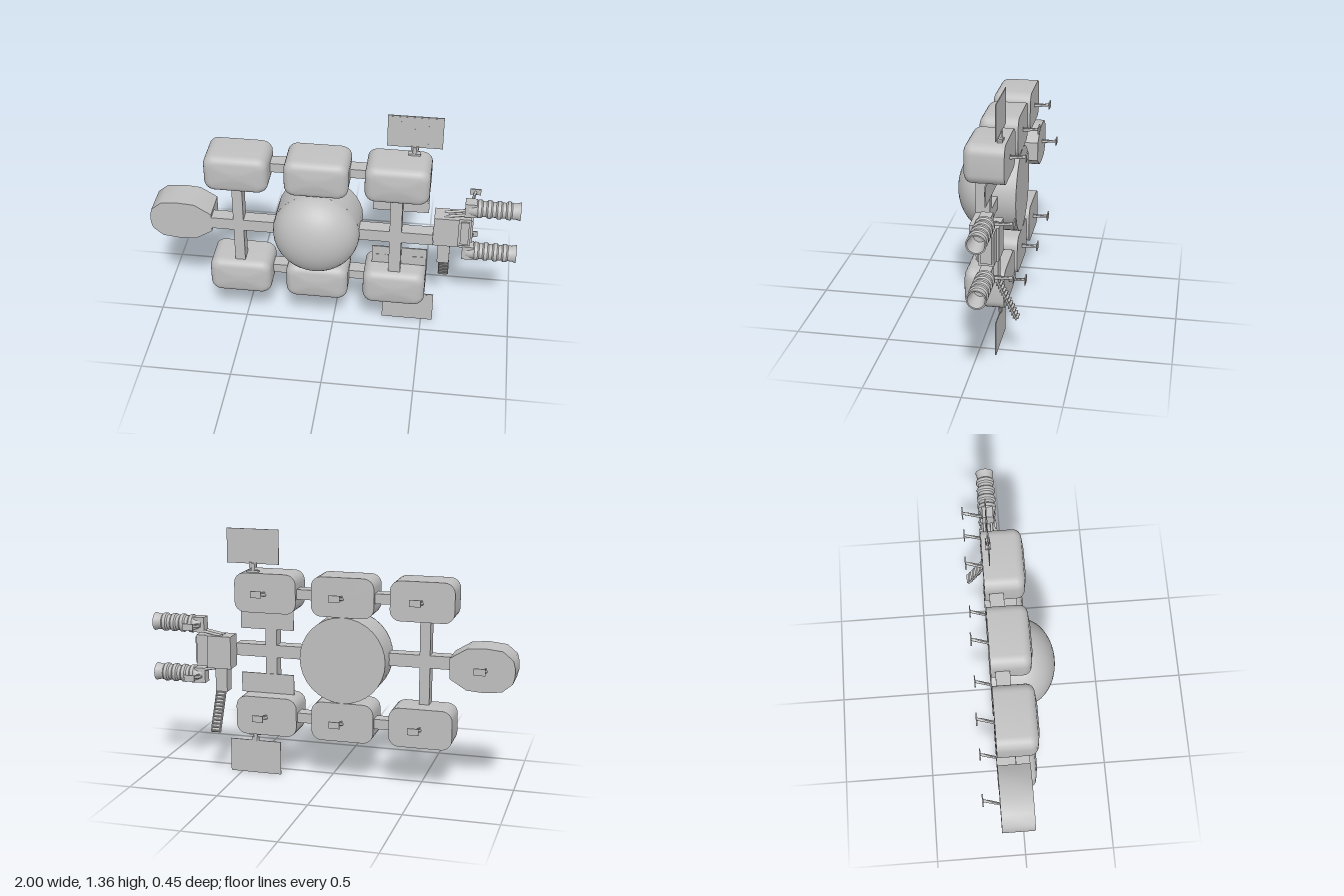
import * as THREE from 'three';
import { toCreasedNormals } from 'three/addons/utils/BufferGeometryUtils.js';

const hull = new THREE.MeshStandardMaterial({ color: 0xc0c0c0 });
hull.name = 'hull grey';
hull.side = THREE.DoubleSide;

const CY = 0.69, BACK = -0.128;

function add(parent, name, geometry, x = 0, y = 0, z = 0) {
  const mesh = new THREE.Mesh(geometry, hull);
  mesh.name = name;
  mesh.position.set(x, y, z);
  parent.add(mesh);
  return mesh;
}

// box given by its limits on each axis
function box(parent, name, x0, x1, y0, y1, z0, z1) {
  return add(parent, name, new THREE.BoxGeometry(x1 - x0, y1 - y0, z1 - z0),
    (x0 + x1) / 2, (y0 + y1) / 2, (z0 + z1) / 2);
}

// round bar between two points
function rod(parent, name, a, b, r, sides = 8) {
  const p = new THREE.Vector3(...a), q = new THREE.Vector3(...b);
  const mesh = add(parent, name, new THREE.CylinderGeometry(r, r, p.distanceTo(q), sides));
  mesh.position.copy(p).add(q).multiplyScalar(0.5);
  mesh.quaternion.setFromUnitVectors(new THREE.Vector3(0, 1, 0), q.sub(p).normalize());
  return mesh;
}

// counter-clockwise rounded rectangle
function roundedRing(hw, hh, r, z) {
  const pts = [];
  [[1, 1], [-1, 1], [-1, -1], [1, -1]].forEach(([sx, sy], k) => {
    for (let i = 0; i <= 6; i++) {
      const a = (k + i / 6) * Math.PI / 2;
      pts.push([sx * (hw - r) + r * Math.cos(a), sy * (hh - r) + r * Math.sin(a), z]);
    }
  });
  return pts;
}

// skin through rings of equal length, capped at both ends
function loft(rings) {
  const pos = [], n = rings[0].length;
  const tri = (...v) => v.forEach(p => pos.push(...p));
  for (let j = 0; j < rings.length - 1; j++) {
    for (let i = 0; i < n; i++) {
      const k = (i + 1) % n, a = rings[j], b = rings[j + 1];
      tri(a[i], a[k], b[k]);
      tri(a[i], b[k], b[i]);
    }
  }
  const first = rings[0], last = rings[rings.length - 1];
  for (let i = 0; i < n; i++) {
    const k = (i + 1) % n;
    tri([0, 0, first[0][2]], first[k], first[i]);
    tri([0, 0, last[0][2]], last[i], last[k]);
  }
  const g = new THREE.BufferGeometry();
  g.setAttribute('position', new THREE.Float32BufferAttribute(pos, 3));
  return toCreasedNormals(g, 0.7);
}

function podGeometry() {
  const w = 0.171, h = 0.107, r = 0.056;
  const rings = [roundedRing(w, h, r, BACK)];
  for (let i = 0; i <= 6; i++) {
    const a = i / 6 * Math.PI / 2, inset = 0.045 * (1 - Math.cos(a));
    rings.push(roundedRing(w - inset, h - inset, r - inset * 0.7, 0.04 + 0.045 * Math.sin(a)));
  }
  rings.push(roundedRing(0.08, 0.035, 0.02, 0.092));
  return loft(rings);
}

// slanted strut with a flat foot behind the hull
function landingLeg(parent, x, y, z = BACK) {
  const leg = new THREE.Group();
  leg.name = 'landingLeg';
  parent.add(leg);
  rod(leg, 'legStrut', [x - 0.022, y - 0.02, z + 0.01], [x, y, -0.215], 0.008);
  rod(leg, 'legBrace', [x - 0.022, y - 0.005, z + 0.01], [x, y, -0.195], 0.004, 6);
  box(leg, 'footPad', x - 0.03, x + 0.03, y - 0.018, y + 0.018, -0.22, -0.213);
}

export function createModel() {
  const model = new THREE.Group();
  model.name = 'spaceBase';

  // spine and cross arms
  box(model, 'spine', -0.68, 0.545, 0.657, 0.726, -0.03, 0.045);
  for (const [x, hw] of [[-0.51, 0.028], [0.345, 0.032]])
    box(model, 'crossArm', x - hw, x + hw, 0.4, 0.98, -0.03, 0.045);

  // central drum and dome
  const drum = add(model, 'drum', new THREE.CylinderGeometry(0.235, 0.235, 0.178, 32), -0.083, CY, -0.039);
  drum.rotation.x = Math.PI / 2;
  const dome = add(model, 'dome', new THREE.SphereGeometry(0.235, 32, 12, 0, Math.PI * 2, 0, Math.PI / 2), -0.083, CY, 0.048);
  dome.rotation.x = Math.PI / 2;
  dome.scale.y = 0.75;

  // six pods, with their legs, joined by connectors
  const pod = podGeometry();
  for (const s of [1, -1]) {
    const y = CY + s * 0.342;
    for (const x of [-0.51, -0.083, 0.345]) {
      add(model, 'pod', pod, x, y, 0);
      landingLeg(model, x + 0.02, y + 0.01);
    }
    for (const x of [-0.296, 0.131])
      box(model, 'podConnector', x - 0.06, x + 0.06, y - 0.027, y + 0.027, -0.105, -0.03);

    // solar wing and its joint
    const wing = y0 => CY + s * (y0 - CY);
    const span = (name, x0, x1, a, b, z0, z1) =>
      box(model, name, x0, x1, Math.min(wing(a), wing(b)), Math.max(wing(a), wing(b)), z0, z1);
    span('solarPanel', 0.275, 0.565, 1.185, 1.372, -0.096, -0.091);
    for (let i = 0; i < 4; i++)
      span('solarCell', 0.281 + i * 0.071, 0.346 + i * 0.071, 1.191, 1.366, -0.091, -0.09);
    span('wingBase', 0.388, 0.452, 1.13, 1.15, -0.107, -0.08);
    rod(model, 'wingJoint', [0.42, wing(1.145), -0.094], [0.42, wing(1.188), -0.094], 0.012);
    span('wingClamp', 0.4, 0.44, 1.165, 1.192, -0.1, -0.088);

    // service panels beside the right cross arm
    span('servicePanel', 0.215, 0.515, 0.815, 0.926, -0.035, -0.028);
    for (const x of [0.25, 0.3, 0.45, 0.495])
      span('panelWindow', x - 0.013, x + 0.013, 0.868, 0.894, -0.028, -0.025);
  }

  // eight-sided-looking end pod
  const upper = [[-0.66, 0.055], [-0.75, 0.111], [-0.84, 0.118], [-0.935, 0.108], [-0.99, 0.062], [-1, 0.022]];
  const outline = [...upper, ...upper.slice().reverse().map(([x, y]) => [x, -y])];
  const endRing = z => outline.map(([x, y]) => [x + 0.83, y, z]);
  add(model, 'endPod', loft([endRing(BACK), endRing(0.045)]), -0.83, CY, 0);
  landingLeg(model, -0.83, CY + 0.015);

  // cabin and engine block
  box(model, 'cabin', 0.545, 0.68, 0.6, 0.78, -0.13, -0.03);
  box(model, 'engineBlock', 0.675, 0.745, 0.605, 0.78, -0.118, -0.04);
  box(model, 'engineBlockFrame', 0.695, 0.755, 0.62, 0.765, -0.108, -0.05);
  box(model, 'blockCover', 0.69, 0.735, 0.62, 0.765, -0.04, -0.032);

  // ribbed engines with hollow nozzles
  const profile = [[0, 0.725], [0.034, 0.725], [0.04, 0.755]];
  for (let i = 0; i < 4; i++) {
    const x = 0.765 + i * 0.052;
    profile.push([0.042, x], [0.05, x + 0.008], [0.05, x + 0.026], [0.043, x + 0.034]);
  }
  profile.push([0.043, 0.975], [0.05, 1], [0.043, 1], [0.036, 0.96], [0.03, 0.9], [0, 0.9]);
  const engine = toCreasedNormals(new THREE.LatheGeometry(profile.map(p => new THREE.Vector2(...p)), 24), 0.5);
  for (const s of [1, -1]) {
    const y = CY + s * 0.143;
    add(model, 'engine', engine, 0, y, -0.078).rotation.z = -Math.PI / 2;
    box(model, 'engineMount', 0.705, 0.768, y - 0.042, y + 0.042, -0.108, -0.048);
    for (const z of [-0.1, -0.06])
      rod(model, 'engineBrace', [0.6, CY + s * 0.087, z], [0.72, CY + s * 0.11, z], 0.008);
    landingLeg(model, 0.755, y + 0.01, -0.11);
  }

  // stairwell and ladder
  box(model, 'stairwell', 0.572, 0.638, 0.468, 0.61, -0.12, -0.05);
  const top = [0.475, -0.11], foot = [0.262, -0.212];
  for (const x of [0.584, 0.634])
    rod(model, 'ladderRail', [x, ...top], [x, ...foot], 0.005, 6);
  for (let i = 0; i < 12; i++) {
    const t = (i + 0.5) / 12;
    const y = top[0] + (foot[0] - top[0]) * t, z = top[1] + (foot[1] - top[1]) * t;
    box(model, 'ladderTread', 0.584, 0.634, y - 0.003, y + 0.003, z - 0.014, z + 0.014);
  }
  const ramp = rod(model, 'ladderBacking', [0.609, ...top], [0.609, ...foot], 0.004, 4);
  ramp.geometry = new THREE.BoxGeometry(0.05, 0.236, 0.004);
  ramp.name = 'ladderBacking';

  return model;
}
